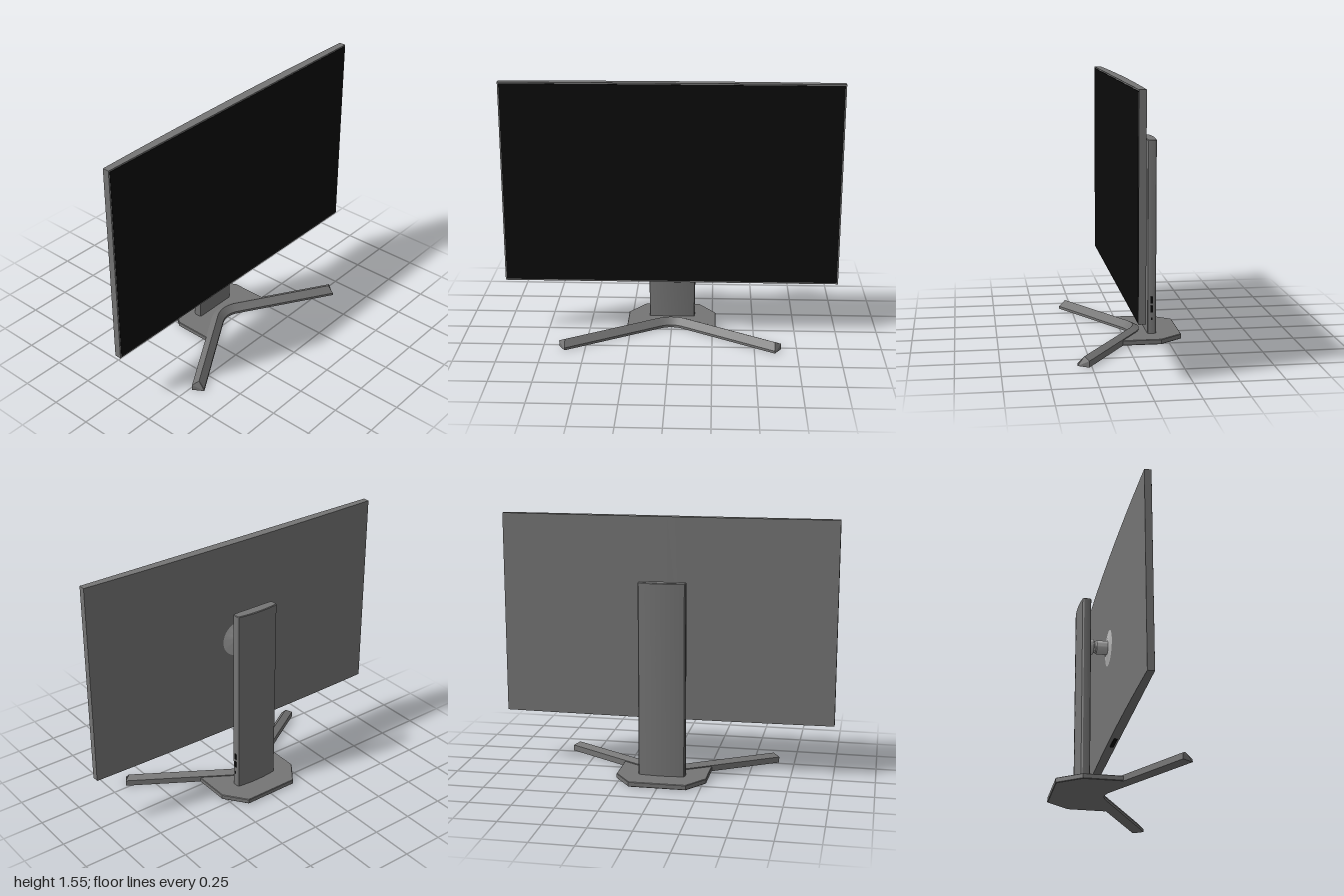
import * as THREE from 'three';
import { toCreasedNormals } from 'three/addons/utils/BufferGeometryUtils.js';

const body = new THREE.MeshStandardMaterial({ name: 'grey plastic', color: 0x757575 });
const silver = new THREE.MeshStandardMaterial({ name: 'light metal', color: 0xb4b4b4 });
const black = new THREE.MeshStandardMaterial({ name: 'black glass', color: 0x0b0b0b });

function add(group, name, geometry, material, x = 0, y = 0, z = 0) {
  const mesh = new THREE.Mesh(geometry, material);
  mesh.name = name;
  mesh.position.set(x, y, z);
  group.add(mesh);
  return mesh;
}

// Raises a floor-plan outline of [x, z] points from y0 to y1, with an optional edge bevel.
function prism(points, y0, y1, bevel = 0) {
  const shape = new THREE.Shape(points.map(([x, z]) => new THREE.Vector2(x, -z)));
  const geo = new THREE.ExtrudeGeometry(shape, {
    depth: y1 - y0 - 2 * bevel, bevelEnabled: bevel > 0, bevelSize: bevel,
    bevelThickness: bevel, bevelOffset: -bevel, bevelSegments: 1,
  });
  geo.rotateX(-Math.PI / 2);
  geo.translate(0, y0 + bevel, 0);
  return toCreasedNormals(geo, 0.5);
}

// Points along a shallow arc that bulges to the back.
function backArc(halfWidth, zEdge, zMiddle, steps) {
  const points = [];
  for (let i = 0; i <= steps; i++) {
    const u = 1 - (2 * i) / steps;
    points.push([u * halfWidth, zMiddle + (zEdge - zMiddle) * u * u]);
  }
  return points;
}

// Ridged bar swept along a V with a rounded apex.
function legGeometry() {
  const V = (x, z) => new THREE.Vector2(x, z);
  const bend = new THREE.QuadraticBezierCurve(V(-0.09, -0.04), V(0, -0.096), V(0.09, -0.04));
  const path = [V(-0.638, 0.297), ...bend.getPoints(10), V(0.638, 0.297)];
  const w = 0.036;
  const section = [[w, 0], [w, 0.015], [0.002, 0.055], [-w, 0.036], [-w, 0]];
  const last = path.length - 1;
  const rings = path.map((p, i) => {
    const t = path[Math.min(i + 1, last)].clone().sub(path[Math.max(i - 1, 0)]).normalize();
    if (i === 1) t.copy(bend.getTangent(0));
    if (i === last - 1) t.copy(bend.getTangent(1));
    return section.map(([off, y]) => {
      // The ridge stops short of each tip.
      const pull = y > 0.05 ? (i === 0 ? 0.02 : i === last ? -0.02 : 0) : 0;
      return [p.x - t.y * off + t.x * pull, y, p.y + t.x * off + t.y * pull];
    });
  });
  const pos = [];
  const tri = (...corners) => corners.forEach((c) => pos.push(...c));
  const n = section.length;
  for (let i = 0; i < last; i++) {
    for (let j = 0; j < n; j++) {
      const k = (j + 1) % n;
      const a = rings[i][j], b = rings[i][k], c = rings[i + 1][k], d = rings[i + 1][j];
      tri(a, d, c);
      tri(a, c, b);
    }
  }
  for (let k = 1; k < n - 1; k++) {
    tri(rings[0][0], rings[0][k], rings[0][k + 1]);
    tri(rings[last][0], rings[last][k + 1], rings[last][k]);
  }
  const geo = new THREE.BufferGeometry();
  geo.setAttribute('position', new THREE.Float32BufferAttribute(pos, 3));
  return toCreasedNormals(geo, 0.4);
}

export function createModel() {
  const model = new THREE.Group();
  model.name = 'monitor';

  // Display: housing with a slightly bowed back, glass and lower tab
  const display = new THREE.Group();
  display.name = 'display';
  model.add(display);
  const plan = [[-1, 0.046], [1, 0.046], ...backArc(1, 0.006, -0.009, 16)];
  add(display, 'housing', prism(plan, 0.33, 1.547), body);
  add(display, 'screen', new THREE.BoxGeometry(1.984, 1.2, 0.004), black, 0, 0.9385, 0.046);
  add(display, 'lowerTab', new THREE.BoxGeometry(0.12, 0.008, 0.02), black, 0, 0.327, 0.022);

  // Mount: shallow cone on the back, then a stepped neck to the column
  const profile = [[0.15, 0.004], [0.045, 0.017], [0.042, 0.018], [0.042, 0.084], [0.036, 0.09],
    [0.036, 0.1], [0.046, 0.103], [0.048, 0.11], [0.048, 0.145]]
    .map(([r, h]) => new THREE.Vector2(r, h));
  const mount = new THREE.LatheGeometry(profile, 32);
  mount.rotateX(-Math.PI / 2);
  add(model, 'mount', toCreasedNormals(mount, 0.5), silver, 0, 0.935, 0);

  // Column with rounded corners and a convex back
  const column = [[-0.14, -0.146], [-0.137, -0.14], [-0.13, -0.137],
    [0.13, -0.137], [0.137, -0.14], [0.14, -0.146], [0.14, -0.18],
    ...backArc(0.134, -0.189, -0.2, 14), [-0.14, -0.18]];
  add(model, 'column', prism(column, 0.025, 1.188, 0.004), body);

  // Sockets on the left side of the column
  for (const [y, h, d] of [[0.235, 0.04, 0.014], [0.18, 0.04, 0.014], [0.12, 0.016, 0.01]]) {
    add(model, 'socket', new THREE.BoxGeometry(0.004, h, d), black, 0.14, y, -0.163);
  }

  // Base plate and V-shaped legs
  const half = [[0.07, -0.055], [0.2, 0.015], [0.27, 0.026], [0.27, -0.2], [0.17, -0.335]];
  const base = [...half, ...half.map(([x, z]) => [-x, z]).reverse()];
  add(model, 'basePlate', prism(base, 0, 0.03, 0.003), body);
  add(model, 'legs', legGeometry(), body);

  return model;
}
